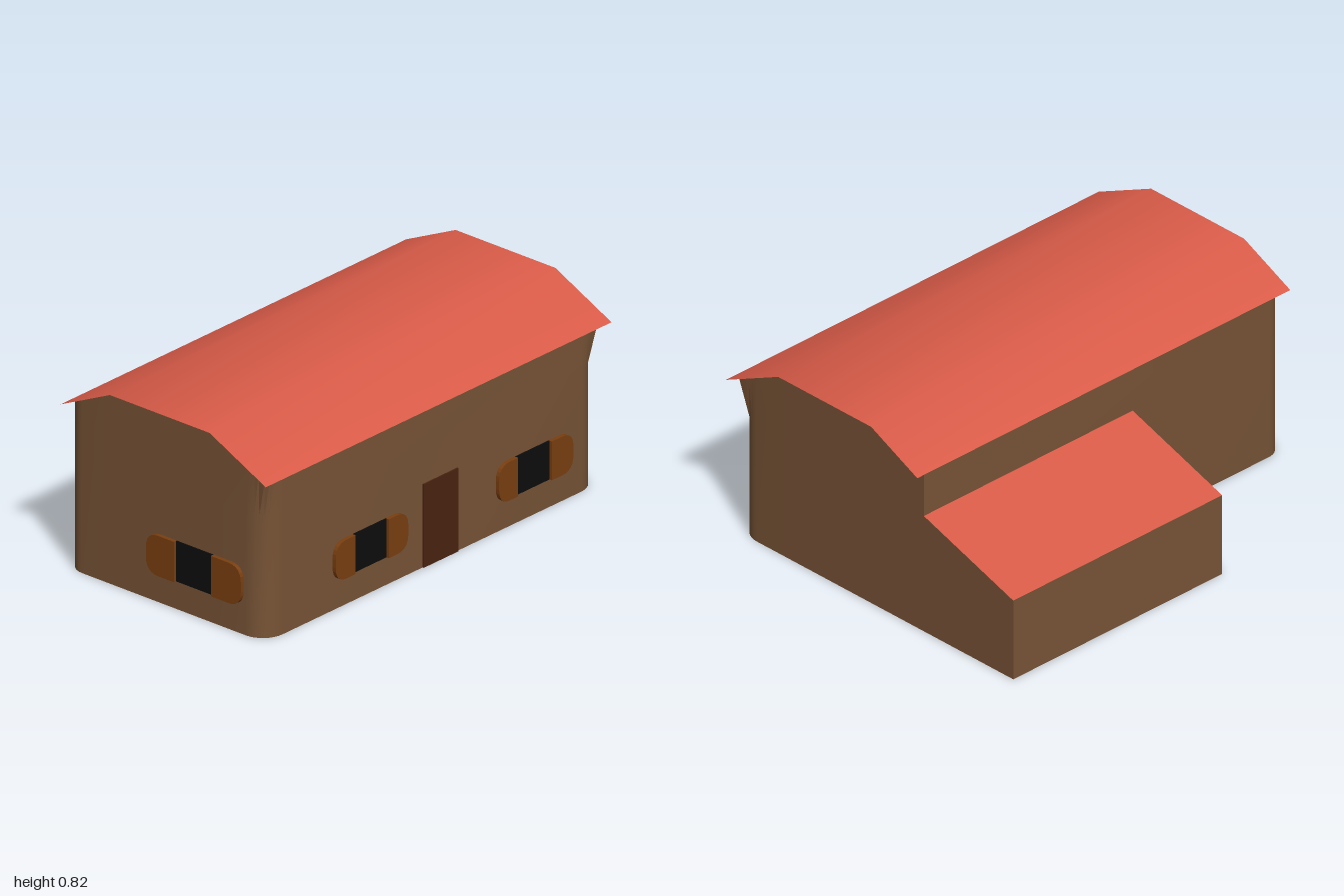
import * as THREE from 'three';
import { toCreasedNormals } from 'three/addons/utils/BufferGeometryUtils.js';

const mat = (color, side = THREE.FrontSide) => new THREE.MeshStandardMaterial({ color, side });
const wallMat = mat(0x785436);
const roofMat = mat(0xd95b48, THREE.DoubleSide);
const doorMat = mat(0x4a2310);
const shutterMat = mat(0x7a3f10);
const glassMat = mat(0x0d0d0d);

// main house and rear wing dimensions
const X = 0.965, FRONT = 0.74, BACK = -0.285;
const WING_X = -0.155, WING_BACK = -0.78, WING_HIGH = 0.52, WING_LOW = 0.355;
const RIDGE_Y = 0.825, RIDGE_FRONT = 0.485, RIDGE_BACK = -0.03;

// height of the main roof at depth z
function roofY(z) {
  if (z > RIDGE_FRONT) return RIDGE_Y - (z - RIDGE_FRONT) * 0.485;
  if (z < RIDGE_BACK) return RIDGE_Y - (RIDGE_BACK - z) * 0.47;
  return RIDGE_Y;
}

function mesh(name, geometry, material) {
  const m = new THREE.Mesh(geometry, material);
  m.name = name;
  return m;
}

// skin stretched over successive rows of [x, y, z] points
function loft(rows) {
  const pos = [];
  for (let r = 0; r < rows.length - 1; r++) {
    for (let i = 0; i < rows[r].length - 1; i++) {
      const a = rows[r][i], b = rows[r][i + 1], c = rows[r + 1][i + 1], d = rows[r + 1][i];
      pos.push(...a, ...b, ...c, ...a, ...c, ...d);
    }
  }
  const g = new THREE.BufferGeometry();
  g.setAttribute('position', new THREE.Float32BufferAttribute(pos, 3));
  g.computeVertexNormals();
  return toCreasedNormals(g, 0.5);
}

// footprint of the main house; each entry has a base and a top position
function mainOutline() {
  const pts = [];
  const point = (x, z) => pts.push({ base: [x, z], top: [x, z] });
  const corner = (cx, cz, r, start, squareTop) => {
    for (let i = 0; i <= 8; i++) {
      const a = start - (i / 8) * Math.PI / 2;
      const c = Math.cos(a), s = Math.sin(a);
      const k = squareTop ? r / Math.max(Math.abs(c), Math.abs(s)) : r;
      pts.push({ base: [cx + c * r, cz + s * r], top: [cx + c * k, cz + s * k] });
    }
  };
  const r = 0.1, rb = 0.08;
  corner(-X + r, FRONT - r, r, Math.PI, true);
  corner(X - r, FRONT - r, r, Math.PI / 2, true);
  point(X, RIDGE_FRONT);
  point(X, RIDGE_BACK);
  point(X, BACK);
  corner(-X + rb, BACK + rb, rb, -Math.PI / 2, false);
  point(-X, RIDGE_BACK);
  point(-X, RIDGE_FRONT);
  pts.push(pts[0]);
  return pts;
}

// dark pane between two raised shutters with rounded outer corners
function makeWindow(name, [x0, g0, g1, x1], y0, y1) {
  const group = new THREE.Group();
  group.name = name;
  const pane = mesh('windowPane', new THREE.BoxGeometry(g1 - g0, y1 - y0, 0.01), glassMat);
  pane.position.set((g0 + g1) / 2, (y0 + y1) / 2, 0);
  group.add(pane);
  for (const [outer, inner] of [[x0, g0], [x1, g1]]) {
    const r = 0.065, dir = Math.sign(inner - outer);
    const s = new THREE.Shape();
    s.moveTo(inner, y0);
    s.lineTo(outer + dir * r, y0);
    s.quadraticCurveTo(outer, y0, outer, y0 + r);
    s.lineTo(outer, y1 - r);
    s.quadraticCurveTo(outer, y1, outer + dir * r, y1);
    s.lineTo(inner, y1);
    s.closePath();
    const g = new THREE.ExtrudeGeometry(s, { depth: 0.025, bevelEnabled: false, curveSegments: 6 });
    g.translate(0, 0, -0.008);
    group.add(mesh('shutter', g, shutterMat));
  }
  return group;
}

export function createModel() {
  const house = new THREE.Group();
  house.name = 'house';

  // main walls: rounded corners that square off under the front eave
  const outline = mainOutline();
  house.add(mesh('mainWalls', loft([
    outline.map(p => [p.base[0], 0, p.base[1]]),
    outline.map(p => [p.base[0], WING_HIGH, p.base[1]]),
    outline.map(p => [p.top[0], roofY(p.top[1]), p.top[1]]),
  ]), wallMat));

  // rear wing walls
  const wing = [[X, BACK], [X, WING_BACK], [WING_X, WING_BACK], [WING_X, BACK]];
  house.add(mesh('wingWalls', loft([
    wing.map(([x, z]) => [x, 0, z]),
    wing.map(([x, z]) => [x, z === BACK ? WING_HIGH : WING_LOW, z]),
  ]), wallMat));

  // thin roofs
  const eaves = [0.775, RIDGE_FRONT, RIDGE_BACK, BACK];
  house.add(mesh('mainRoof', loft(eaves.map(z => [[-1, roofY(z), z], [1, roofY(z), z]])), roofMat));
  house.add(mesh('wingRoof', loft([
    [[WING_X, WING_HIGH, BACK], [X, WING_HIGH, BACK]],
    [[WING_X, WING_LOW, WING_BACK], [X, WING_LOW, WING_BACK]],
  ]), roofMat));

  // floor follows the outline of house and wing
  const plan = [];
  for (const p of outline.slice(0, -1)) {
    const [x, z] = p.base;
    if (x === X && z === BACK) plan.push(...wing.slice(1));
    else plan.push([x, z]);
  }
  const floor = new THREE.ShapeGeometry(new THREE.Shape(plan.map(([x, z]) => new THREE.Vector2(x, z))));
  floor.rotateX(Math.PI / 2);
  house.add(mesh('floor', floor, roofMat));

  // door
  const door = mesh('door', new THREE.BoxGeometry(0.2, 0.355, 0.012), doorMat);
  door.position.set(0.047, 0.1775, FRONT);
  house.add(door);

  // two front windows and one on the right-hand end wall
  const frontRight = makeWindow('frontRightWindow', [-0.575, -0.46, -0.268, -0.155], 0.12, 0.285);
  const frontLeft = makeWindow('frontLeftWindow', [0.37, 0.48, 0.675, 0.8], 0.12, 0.285);
  frontRight.position.z = frontLeft.position.z = FRONT;
  const side = makeWindow('sideWindow', [0.14, 0.285, 0.475, 0.63], 0.12, 0.292);
  side.rotation.y = -Math.PI / 2;
  side.position.x = -X;
  house.add(frontRight, frontLeft, side);

  return house;
}
